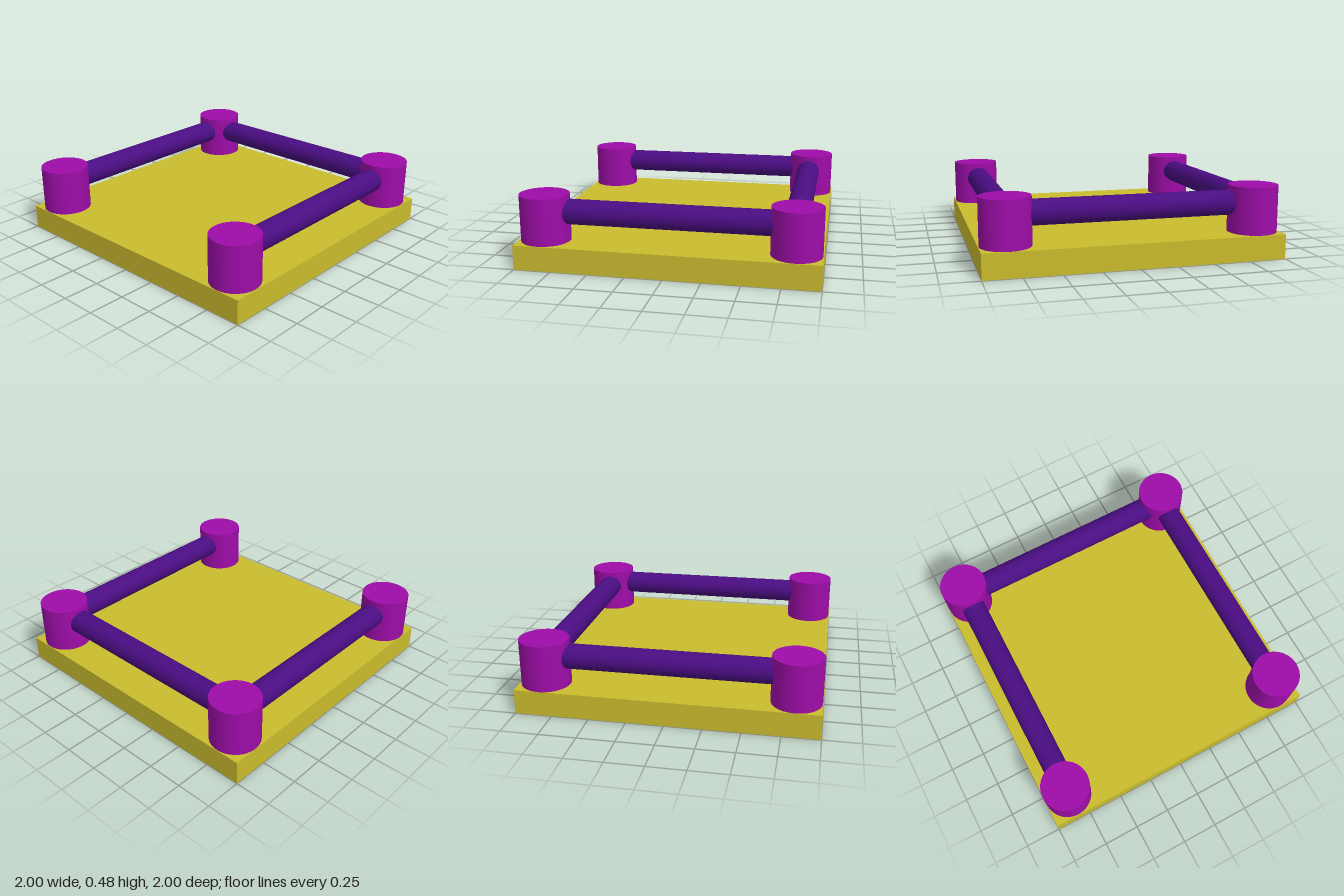
import * as THREE from 'three';

const paint = (name, color) => {
  const m = new THREE.MeshStandardMaterial({ color });
  m.name = name;
  return m;
};

export function createModel() {
  const model = new THREE.Group();
  model.name = 'railedPlatform';
  const yellow = paint('yellow', 0xc9bb2d);
  const magenta = paint('magenta', 0x9d0da8);
  const violet = paint('violet', 0x4a0d82);

  const add = (name, geometry, material, x, y, z) => {
    const mesh = new THREE.Mesh(geometry, material);
    mesh.name = name;
    mesh.position.set(x, y, z);
    model.add(mesh);
    return mesh;
  };

  // Square slab
  const top = 0.167;
  add('base', new THREE.BoxGeometry(2, top, 2), yellow, 0, top / 2, 0);

  // Corner posts standing on the slab
  const leftX = 0.828, rightX = -0.833, postZ = 0.83, postTop = 0.483;
  const postGeometry = new THREE.CylinderGeometry(0.166, 0.166, postTop - top, 48);
  for (const [side, x] of [['left', leftX], ['right', rightX]]) {
    for (const [end, z] of [['Front', postZ], ['Back', -postZ]]) {
      add(`${side}${end}Post`, postGeometry, magenta, x, (top + postTop) / 2, z);
    }
  }

  // Round rails joining the posts, open at the front
  const railY = 0.367;
  const railGeometry = new THREE.CylinderGeometry(0.084, 0.084, 1.6, 40);
  add('leftRail', railGeometry, violet, leftX - 0.005, railY, 0).rotation.x = Math.PI / 2;
  add('rightRail', railGeometry, violet, rightX, railY, 0).rotation.x = Math.PI / 2;
  add('backRail', railGeometry, violet, 0, railY, -0.816).rotation.z = Math.PI / 2;

  return model;
}
